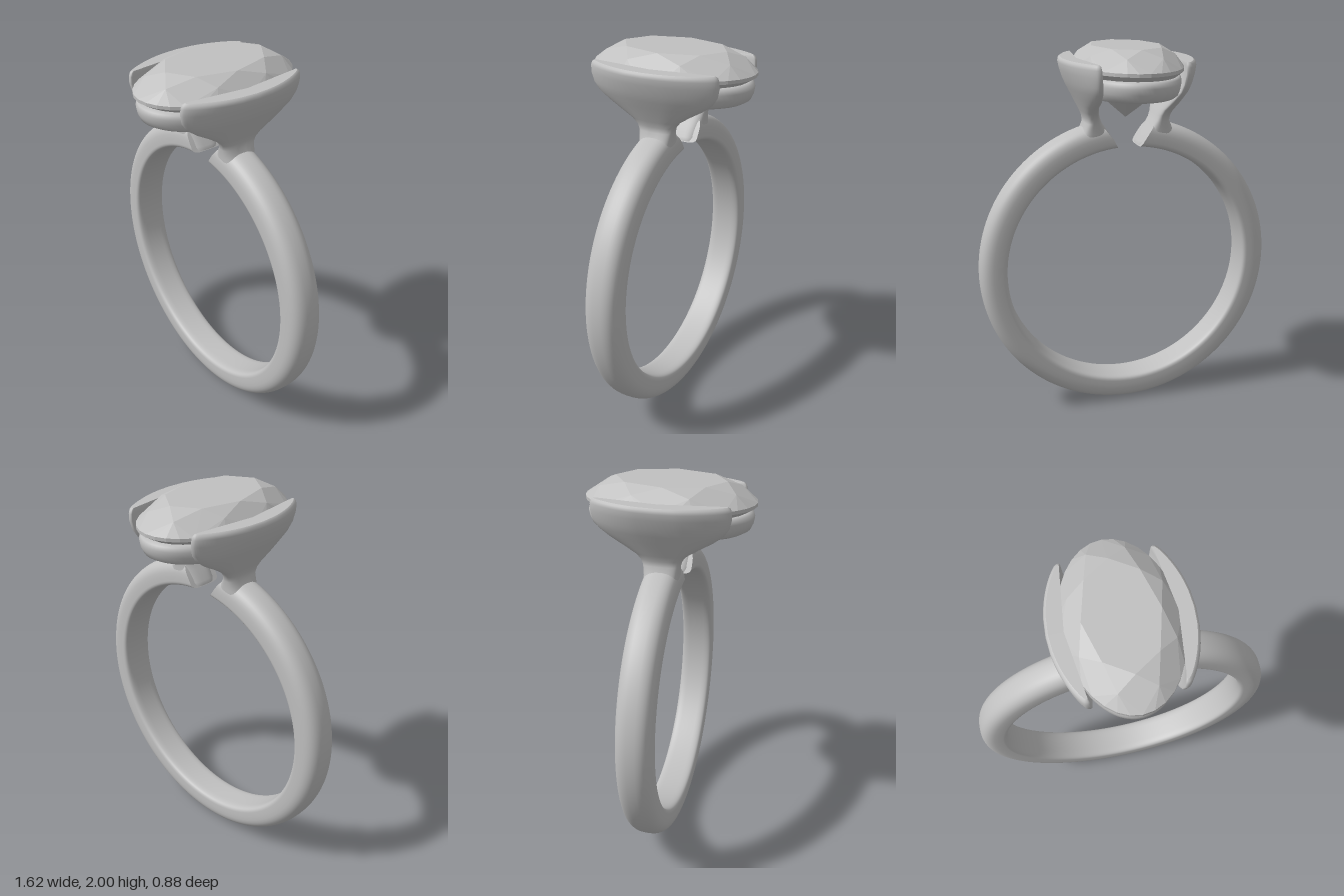
import * as THREE from 'three';
import { ConvexGeometry } from 'three/addons/geometries/ConvexGeometry.js';

// Closed solid skinned through rows of equal-length closed loops, with a cap at each end
function loft(loops) {
  const centre = (loop) => {
    const c = new THREE.Vector3();
    loop.forEach((p) => c.add(p));
    c.divideScalar(loop.length);
    return loop.map(() => c);
  };
  const first = loops[0], last = loops[loops.length - 1];
  const rows = [centre(first), first, ...loops, last, centre(last)];
  const n = first.length;
  const points = rows.flat();
  const index = [];
  for (let i = 0; i < rows.length - 1; i++) {
    for (let j = 0; j < n; j++) {
      const a = i * n + j, b = i * n + ((j + 1) % n);
      index.push(a, b, b + n, a, b + n, a + n);
    }
  }
  // turn the faces outward
  let volume = 0;
  const cross = new THREE.Vector3();
  for (let i = 0; i < index.length; i += 3) {
    volume += points[index[i]].dot(cross.crossVectors(points[index[i + 1]], points[index[i + 2]]));
  }
  if (volume < 0) index.reverse();
  const geo = new THREE.BufferGeometry().setFromPoints(points);
  geo.setIndex(index);
  geo.computeVertexNormals();
  return geo;
}

// Rounded-box curve: signed power of a sine or cosine
const round = (v, exponent) => Math.sign(v) * Math.abs(v) ** (2 / exponent);

const CENTRE_Y = 0.812, INNER = 0.665, OUTER = 0.81;

// Open finger band with a domed outside, a flatter inside and slanted ends
function bandGeometry() {
  const loops = [], sides = 40, steps = 128;
  for (let i = 0; i <= steps; i++) {
    const loop = [];
    for (let j = 0; j < sides; j++) {
      const a = (j / sides) * Math.PI * 2;
      const c = Math.cos(a), s = Math.sin(a);
      const e = c > 0 ? 2.6 : 5;
      const r = 0.72 + round(c, e) * (c > 0 ? OUTER - 0.72 : 0.72 - INNER);
      const gap = 0.09 + ((r - INNER) / (OUTER - INNER)) * 0.1;
      const t = gap + (i / steps) * (Math.PI * 2 - 2 * gap);
      loop.push(new THREE.Vector3(Math.sin(t) * r, CENTRE_Y + Math.cos(t) * r, round(s, e) * 0.093));
    }
    loops.push(loop);
  }
  return loft(loops);
}

// Flared claw: height, half width in z, inner x, outer x, backward bow of the ends
const CLAW = [
  [1.48, 0.085, 0.056, 0.27, 0],
  [1.5, 0.088, 0.062, 0.28, 0],
  [1.56, 0.09, 0.105, 0.25, 0],
  [1.61, 0.095, 0.14, 0.225, 0],
  [1.64, 0.105, 0.156, 0.23, 0.005],
  [1.67, 0.13, 0.17, 0.242, 0.01],
  [1.71, 0.19, 0.193, 0.262, 0.022],
  [1.75, 0.26, 0.215, 0.281, 0.043],
  [1.79, 0.313, 0.238, 0.302, 0.06],
  [1.83, 0.34, 0.255, 0.32, 0.073],
  [1.88, 0.352, 0.273, 0.337, 0.085],
  [1.915, 0.35, 0.28, 0.345, 0.09],
  [1.932, 0.344, 0.285, 0.342, 0.09],
  [1.94, 0.332, 0.297, 0.332, 0.09],
];

function clawGeometry(side) {
  const sides = 56;
  return loft(CLAW.map(([y, w, xIn, xOut, bow]) => {
    const loop = [];
    for (let j = 0; j < sides; j++) {
      const a = (j / sides) * Math.PI * 2;
      const u = round(Math.cos(a), 3.2), v = round(Math.sin(a), 3.2);
      const x = (xIn + xOut) / 2 + (v * (xOut - xIn)) / 2 - bow * u * u;
      loop.push(new THREE.Vector3(side * x, y, u * w));
    }
    return loop;
  }));
}

// Oval seat under the stone
function seatGeometry() {
  const profile = [
    [0.33, 1.8], [0.337, 1.768], [0.355, 1.755], [0.385, 1.757], [0.408, 1.77], [0.422, 1.8],
    [0.427, 1.83], [0.42, 1.852], [0.4, 1.862], [0.35, 1.862], [0.333, 1.85], [0.33, 1.8],
  ].map(([r, y]) => new THREE.Vector2(r, y));
  return new THREE.LatheGeometry(profile, 72).scale(0.635, 1, 1);
}

// Oval brilliant cut: table, crown, girdle and pavilion
function gemGeometry() {
  const points = [new THREE.Vector3(0, 1.625, 0)];
  const oval = (count, offset, r, y) => {
    for (let i = 0; i < count; i++) {
      const a = ((i + offset) / count) * Math.PI * 2;
      points.push(new THREE.Vector3(Math.cos(a) * r * 0.28, y, Math.sin(a) * r * 0.44));
    }
  };
  oval(8, 0, 0.65, 2);
  oval(8, 0.5, 0.85, 1.963);
  oval(32, 0, 1, 1.905);
  oval(32, 0, 1, 1.888);
  oval(8, 0.5, 0.25, 1.684);
  return new ConvexGeometry(points);
}

export function createModel() {
  const silver = new THREE.MeshStandardMaterial({ color: 0xc0c0c0 });
  silver.name = 'silver';
  const model = new THREE.Group();
  model.name = 'ring';
  const add = (name, geometry) => {
    const mesh = new THREE.Mesh(geometry, silver);
    mesh.name = name;
    model.add(mesh);
  };
  add('band', bandGeometry());
  add('leftClaw', clawGeometry(1));
  add('rightClaw', clawGeometry(-1));
  add('stoneSeat', seatGeometry());
  add('stone', gemGeometry());
  return model;
}
